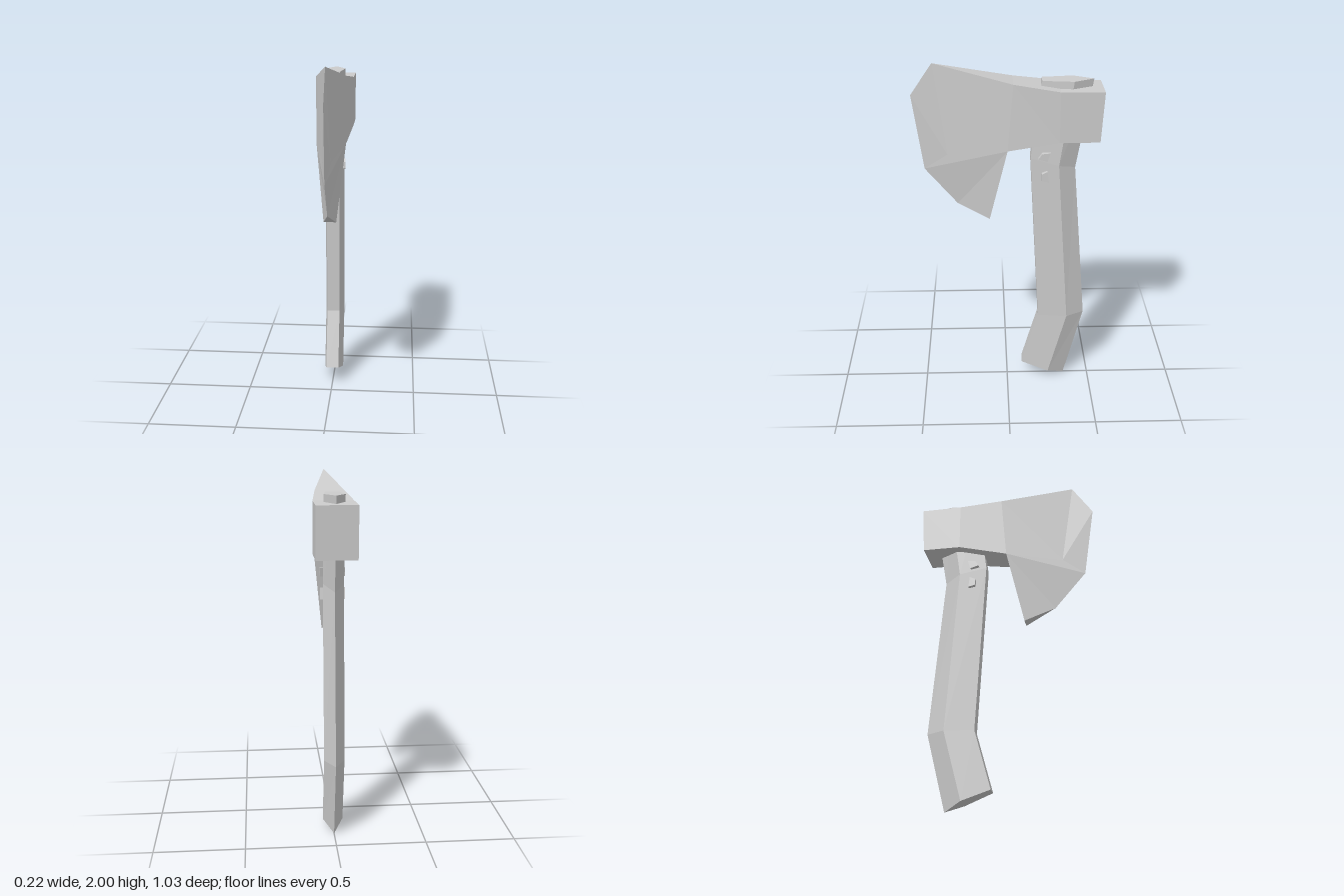
import * as THREE from 'three';

const material = new THREE.MeshStandardMaterial({ color: 0xcccccc, flatShading: true });

// Turns a list of convex, counter-clockwise faces into a flat shaded mesh
function meshFromFaces(name, faces) {
  const positions = [];
  for (const f of faces)
    for (let i = 1; i < f.length - 1; i++) positions.push(...f[0], ...f[i], ...f[i + 1]);
  const geometry = new THREE.BufferGeometry();
  geometry.setAttribute('position', new THREE.Float32BufferAttribute(positions, 3));
  geometry.computeVertexNormals();
  const mesh = new THREE.Mesh(geometry, material);
  mesh.name = name;
  return mesh;
}

const mirror = ([x, y, z]) => [-x, y, z];

// Head: one side of panels, mirrored, joined by a rim around the outline
function createHead() {
  const buttLow = [0.11, 1.587, -0.5], buttTop = [0.11, 1.867, -0.515];
  const cheekTop = [0.11, 1.87, -0.28], cheekLow = [0.11, 1.587, -0.28];
  const neckTop = [0.083, 1.905, -0.03], neckLow = [0.083, 1.53, 0];
  const toe = [0, 2, 0.4], edgeTop = [0, 1.825, 0.52], edgeLow = [0, 1.4, 0.46];
  const heelFront = [0, 1.185, 0.28], heelBack = [0.036, 1.1, 0.1];
  const bevel = [0.022, 1.49, 0.33];

  const panels = [
    [buttLow, buttTop, cheekTop, cheekLow],
    [cheekLow, cheekTop, neckTop, neckLow],
    [neckTop, toe, bevel],
    [neckTop, bevel, neckLow],
    [neckLow, bevel, edgeLow],
    [neckLow, edgeLow, heelFront],
    [neckLow, heelFront, heelBack],
    [toe, edgeTop, bevel],
    [edgeTop, edgeLow, bevel],
  ];
  const faces = panels.flatMap((p) => [p, p.map(mirror).reverse()]);

  const rim = [buttLow, buttTop, cheekTop, neckTop, toe, edgeTop, edgeLow,
    heelFront, heelBack, neckLow, cheekLow];
  rim.forEach((p, i) => {
    const q = rim[(i + 1) % rim.length];
    if (p[0] === 0 && q[0] === 0) return; // sharp cutting edge
    if (p[0] === 0) faces.push([p, mirror(q), q]);
    else if (q[0] === 0) faces.push([p, mirror(p), q]);
    else faces.push([p, mirror(p), mirror(q), q]);
  });
  return meshFromFaces('axeHead', faces);
}

// Handle: five-sided section lofted through four levels
function createHandle() {
  // [y, z] of the flat front, the widest line and the back ridge
  const levels = [
    [[0.11, -0.09], [0.05, -0.25], [0.005, -0.35]],
    [[0.45, -0.185], [0.45, -0.355], [0.45, -0.46]],
    [[1.47, -0.128], [1.43, -0.285], [1.4, -0.38]],
    [[1.91, -0.185], [1.91, -0.355], [1.91, -0.465]],
  ];
  const rings = levels.map(([f, m, b]) => [
    [0.037, ...f], [0.057, ...m], [0, ...b], [-0.057, ...m], [-0.037, ...f],
  ]);
  const faces = [[...rings[0]].reverse(), rings[3]];
  for (let k = 0; k < 3; k++)
    for (let i = 0; i < 5; i++) {
      const j = (i + 1) % 5;
      faces.push([rings[k][i], rings[k][j], rings[k + 1][j], rings[k + 1][i]]);
    }
  return meshFromFaces('handle', faces);
}

// Rough pin running through the handle, outline given as [z, y]
function createPin(name, outline) {
  const shape = new THREE.Shape(outline.map(([z, y]) => new THREE.Vector2(-z, y)));
  const geometry = new THREE.ExtrudeGeometry(shape, { depth: 0.136, bevelEnabled: false });
  geometry.translate(0, 0, -0.068).rotateY(Math.PI / 2);
  const mesh = new THREE.Mesh(geometry, material);
  mesh.name = name;
  return mesh;
}

export function createModel() {
  const group = new THREE.Group();
  group.name = 'axe';
  group.add(
    createHead(),
    createHandle(),
    createPin('upperPin', [[-0.17, 1.475], [-0.22, 1.46], [-0.235, 1.51], [-0.19, 1.505]]),
    createPin('lowerPin', [[-0.19, 1.345], [-0.23, 1.335], [-0.222, 1.4], [-0.19, 1.385]]),
  );
  return group;
}
